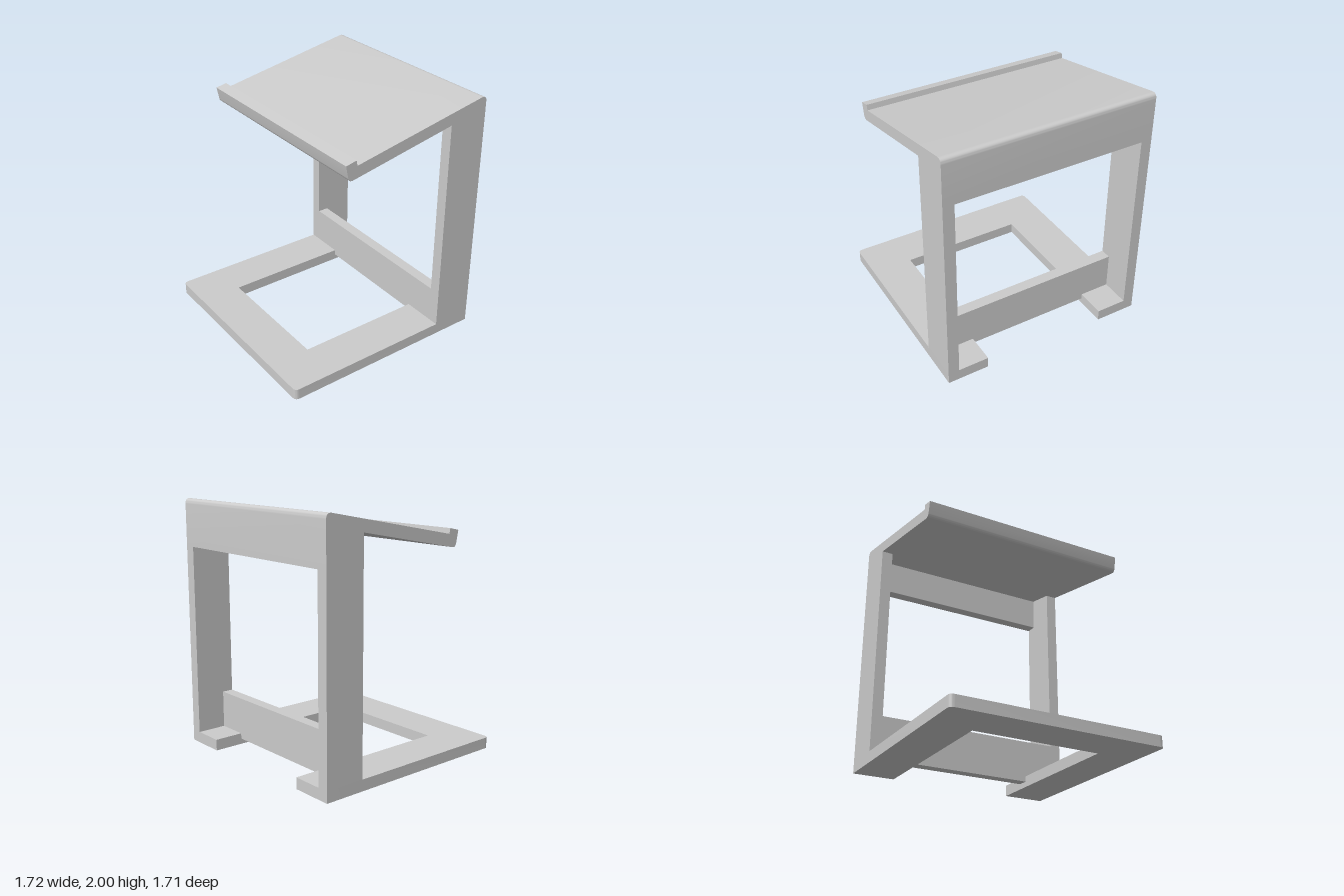
import * as THREE from 'three';
import { toCreasedNormals } from 'three/addons/utils/BufferGeometryUtils.js';

const W = 0.862;      // half width
const T = 0.09;       // wall thickness
const FRONT = 0.857, BACK = -0.855, POST_FRONT = -0.525;

const material = new THREE.MeshStandardMaterial({ color: 0xcccccc });

// Outline from [x, y] corners; a four-number entry is a rounded corner [controlX, controlY, endX, endY].
function outline(points) {
  const shape = new THREE.Shape();
  points.forEach((p, i) => {
    if (i === 0) shape.moveTo(p[0], p[1]);
    else if (p.length === 4) shape.quadraticCurveTo(...p);
    else shape.lineTo(p[0], p[1]);
  });
  shape.closePath();
  return shape;
}

function extrude(points, depth) {
  return new THREE.ExtrudeGeometry(outline(points), { depth, bevelEnabled: false, curveSegments: 8 });
}

// Side profile in (z, y), extruded along x between x0 and x1.
function extrudeAcross(points, x0, x1) {
  return extrude(points, x1 - x0).rotateY(-Math.PI / 2).translate(x1, 0, 0);
}

function part(name, geometry) {
  const mesh = new THREE.Mesh(toCreasedNormals(geometry, 0.5), material);
  mesh.name = name;
  return mesh;
}

export function createModel() {
  const group = new THREE.Group();
  group.name = 'stand';

  // U-shaped base, open at the back, with rounded front corners (plan in x, -z)
  const r = 0.04, slot = 0.52, slotFront = 0.51;
  group.add(part('base', extrude([
    [-W, -BACK], [-W, -FRONT + r],
    [-W, -FRONT, -W + r, -FRONT], [W - r, -FRONT],
    [W, -FRONT, W, -FRONT + r], [W, -BACK],
    [slot, -BACK], [slot, -slotFront], [-slot, -slotFront], [-slot, -BACK],
  ], T).rotateX(-Math.PI / 2)));

  // Sloped tray with front lip and turned-down back panel
  const inner = BACK + T;
  group.add(part('tray', extrudeAcross([
    [0.355, 1.68],
    [0.392, 1.672, 0.4, 1.705],
    [0.42, 1.803], [0.332, 1.822], [0.324, 1.78],
    [-0.81, 2.0],
    [-0.855, 2.006, BACK, 1.96],
    [BACK, 1.625], [inner, 1.625], [inner, 1.898],
  ], -W, W)));

  // Posts fill the corner between base, tray and back panel
  const postProfile = [
    [POST_FRONT, T], [POST_FRONT, 1.852], [inner, 1.898],
    [inner, 1.625], [BACK, 1.625], [BACK, T],
  ];
  group.add(part('leftPost', extrudeAcross(postProfile, W - T, W)));
  group.add(part('rightPost', extrudeAcross(postProfile, -W, -W + T)));

  // Cross panel between the posts, dipping into the base slot
  const px = W - T;
  group.add(part('crossPanel', extrude([
    [-slot, 0.045], [slot, 0.045], [slot, T], [px, T],
    [px, 0.39], [-px, 0.39], [-px, T], [-slot, T],
  ], T).translate(0, 0, POST_FRONT - T)));

  return group;
}
